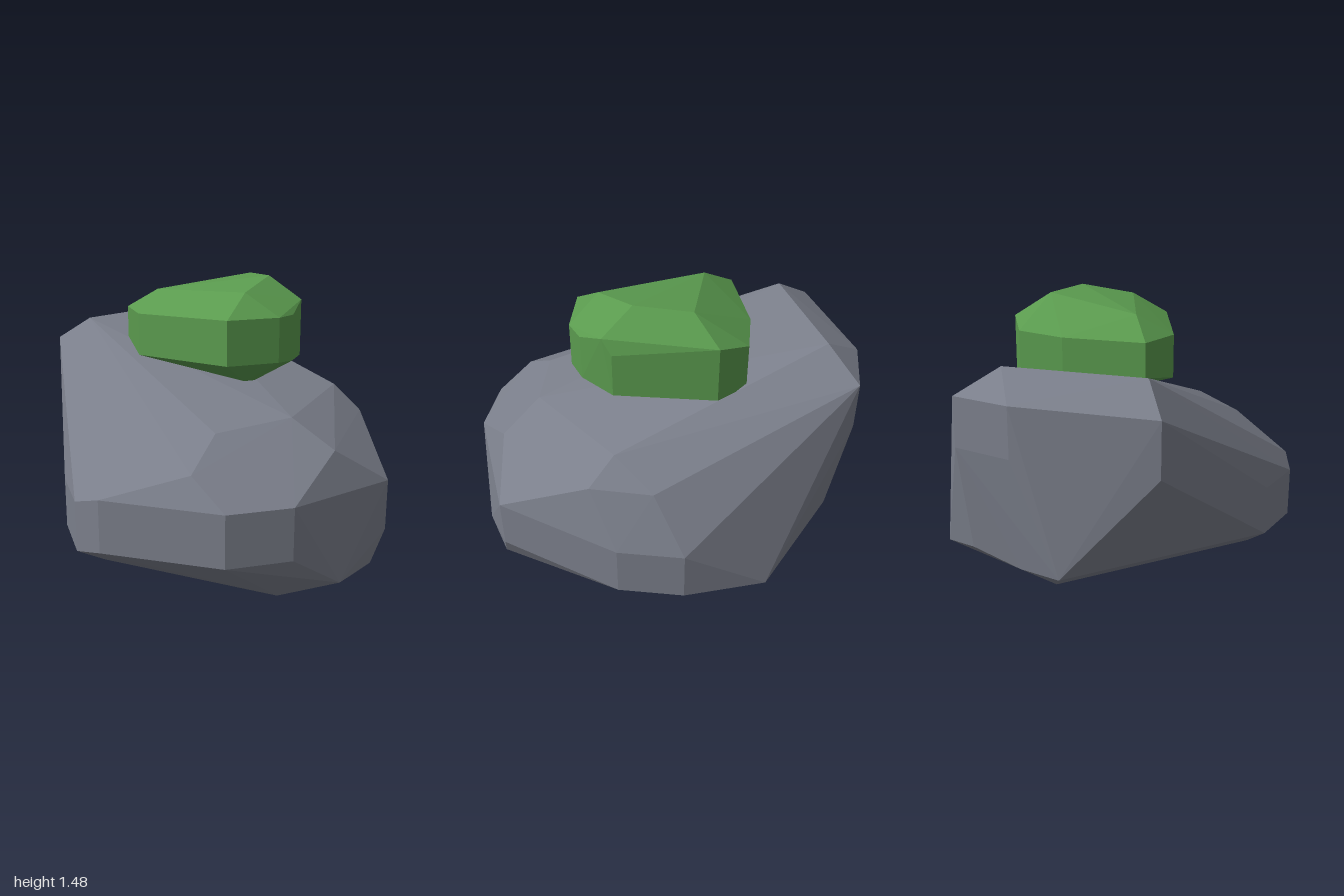
import * as THREE from 'three';
import { ConvexGeometry } from 'three/addons/geometries/ConvexGeometry.js';

// Faceted solid from upright edges [x, z, yLow, yHigh] and single corners [x, y, z]
function facetedSolid(name, material, columns, corners) {
  const points = corners.map(([x, y, z]) => new THREE.Vector3(x, y, z));
  for (const [x, z, low, high] of columns) {
    points.push(new THREE.Vector3(x, low, z), new THREE.Vector3(x, high, z));
  }
  const mesh = new THREE.Mesh(new ConvexGeometry(points), material);
  mesh.name = name;
  return mesh;
}

export function createModel() {
  const stone = new THREE.MeshStandardMaterial({ color: 0x7b7f8b });
  stone.name = 'grey stone';
  const green = new THREE.MeshStandardMaterial({ color: 0x5a9a4e });
  green.name = 'moss green';

  const model = new THREE.Group();
  model.name = 'mossyRock';

  // Boulder: chamfered block, high at the left rear
  model.add(facetedSolid('boulder', stone, [
    // front
    [-0.45, 0.66, 0.26, 0.51], [-0.22, 0.885, 0.26, 0.51],
    [-0.06, 0.925, 0.30, 0.56], [0.53, 0.82, 0.31, 0.565],
    // sides
    [0.76, 0.60, 0.31, 0.565], [1, 0, 0.285, 0.54],
    [0.70, -0.56, 0.22, 0.48], [-1, -0.05, 0.80, 1.06],
    // back
    [0.47, -0.785, 0.22, 0.48], [-0.51, -0.88, 0.85, 1.09],
    [-0.74, -0.66, 0.85, 1.09],
  ], [
    // top
    [-0.78, 1.19, -0.05], [-0.51, 1.215, -0.66],
    [0.57, 0.89, -0.38], [0.72, 0.765, -0.38], [0.51, 0.765, -0.60],
    [0.59, 0.865, 0.25], [0.81, 0.735, 0.25],
    [0.34, 0.83, 0.55], [0.34, 0.70, 0.78],
    // underside
    [0.96, 0.13, 0.09], [0.90, 0.13, 0.36], [0.74, 0, 0.09], [0.60, 0.005, 0.40],
    [-0.22, 0.12, 0.66], [-0.63, 0.18, -0.45], [-0.85, 0.31, -0.47],
    [-0.68, 0.30, -0.62], [-0.45, 0.33, -0.82],
    [0.06, 0.155, -0.93], [0.06, 0.03, -0.71], [0.48, 0.09, -0.60],
  ]));

  // Moss: smaller chamfered lump resting on the slope
  model.add(facetedSolid('mossClump', green, [
    [-0.48, 0.01, 1.12, 1.285], [-0.29, 0.20, 1.07, 1.285],
    [0.28, 0.32, 1.09, 1.31], [0.46, 0.12, 1.09, 1.31],
    [0.48, 0, 1.08, 1.31], [0.44, -0.20, 1.07, 1.29],
    [0.08, -0.535, 1.07, 1.35], [-0.10, -0.535, 1.07, 1.30],
    [-0.28, -0.35, 1.10, 1.29],
  ], [
    // crown
    [-0.29, 1.39, 0.01], [0.08, 1.46, -0.35], [0.28, 1.475, -0.15],
    [0.28, 1.42, 0.13], [0.46, 1.365, -0.15],
    // underside
    [0.29, 0.965, 0.03], [0.28, 0.98, 0.13], [0.21, 0.97, -0.21],
    [-0.37, 1.06, 0],
  ]));

  return model;
}
